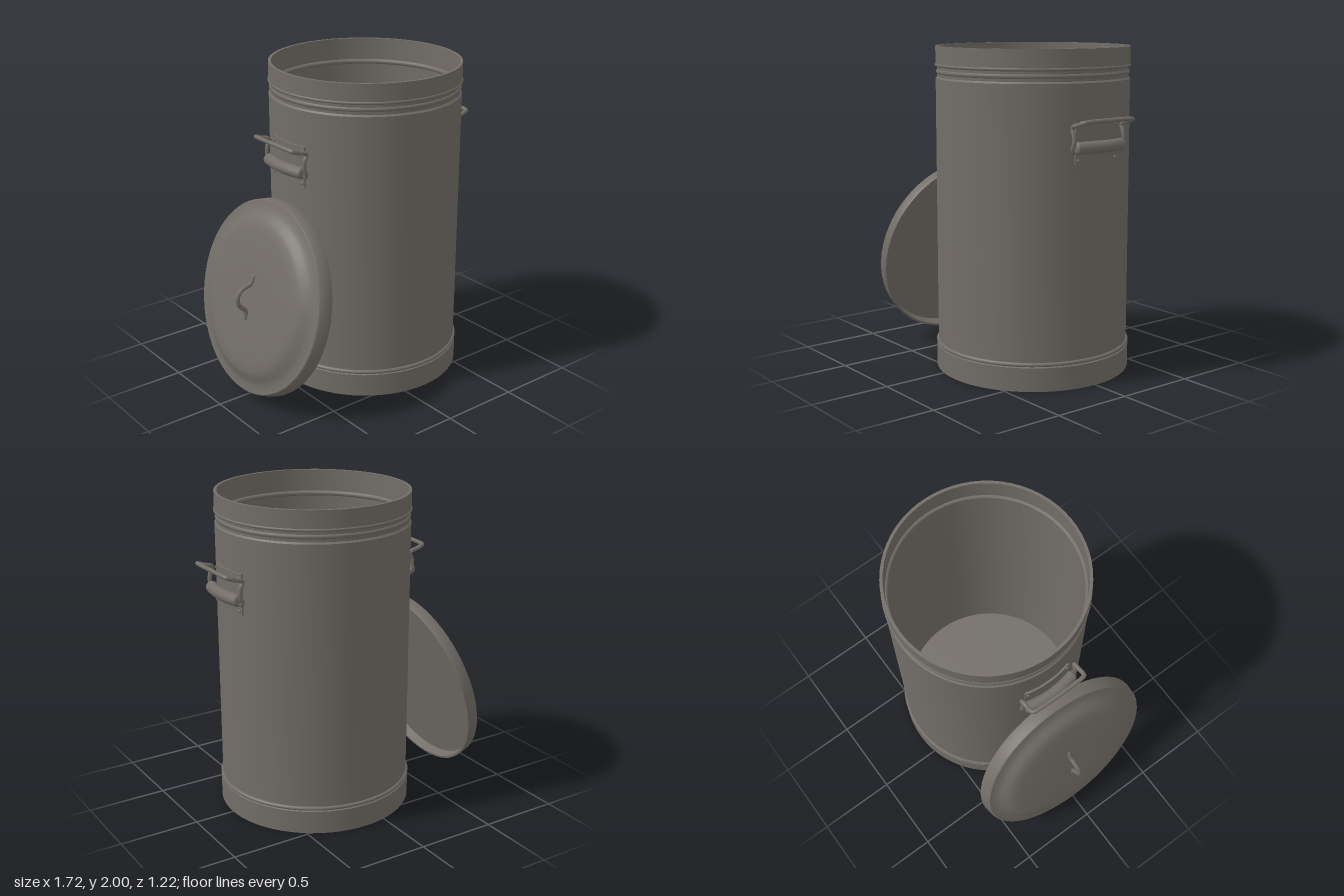
import * as THREE from 'three';
import { toCreasedNormals } from 'three/addons/utils/BufferGeometryUtils.js';

const metal = new THREE.MeshStandardMaterial({ color: 0x726d67 });
metal.name = 'dull grey metal';

function part(name, geometry, parent) {
  const mesh = new THREE.Mesh(geometry, metal);
  mesh.name = name;
  parent.add(mesh);
  return mesh;
}

// Closed solid of revolution with sharp edges kept
function turned(profile, segments = 64) {
  const points = profile.map(([r, y]) => new THREE.Vector2(r, y));
  return toCreasedNormals(new THREE.LatheGeometry(points, segments), 0.6);
}

function wire(points, radius, closed, steps) {
  const curve = new THREE.CatmullRomCurve3(points.map(p => new THREE.Vector3(...p)), closed, 'centripetal');
  return new THREE.TubeGeometry(curve, steps, radius, 8, closed);
}

// Horizontal bead around the can
function bead(name, r, tube, y, parent) {
  const mesh = part(name, new THREE.TorusGeometry(r, tube, 8, 64).rotateX(Math.PI / 2), parent);
  mesh.position.y = y;
}

function createHandle() {
  const handle = new THREE.Group();

  // Curved mounting plate hugging the wall
  const half = 0.262;
  const [a0, a1] = [-half, half];
  const shape = new THREE.Shape();
  shape.absarc(0, 0, 0.606, a0, a1, false);
  shape.absarc(0, 0, 0.585, a1, a0, true);
  const plate = new THREE.ExtrudeGeometry(shape, { depth: 0.25, bevelEnabled: false, curveSegments: 12 });
  plate.rotateX(-Math.PI / 2).translate(0, 1.34, 0);
  part('handlePlate', toCreasedNormals(plate, 0.6), handle);

  // Rivets at the plate corners
  for (const y of [1.365, 1.565]) for (const s of [-1, 1]) {
    const rivet = part('rivet', new THREE.SphereGeometry(0.01, 8, 6), handle);
    rivet.position.set(0.607 * Math.cos(0.235), y, s * 0.607 * Math.sin(0.235));
  }

  // Bowed hinge roll with rounded ends
  const rollRadius = 0.635, rollHalf = 0.265;
  const roll = new THREE.TorusGeometry(rollRadius, 0.037, 12, 16, rollHalf * 2);
  roll.rotateZ(-rollHalf).rotateX(Math.PI / 2);
  part('hingeRoll', roll, handle).position.y = 1.44;
  for (const s of [-1, 1]) {
    const cap = part('hingeRollEnd', new THREE.SphereGeometry(0.037, 12, 8), handle);
    cap.scale.z = 0.4;
    cap.rotation.y = -s * rollHalf;
    cap.position.set(rollRadius * Math.cos(rollHalf), 1.44, s * rollRadius * Math.sin(rollHalf));
  }

  // Bent wire bail, closed through the hinge roll
  const side = [
    [0.61, 1.43, 0.16], [0.60, 1.415, 0.18], [0.598, 1.43, 0.19], [0.612, 1.47, 0.19],
    [0.607, 1.52, 0.19], [0.593, 1.55, 0.19], [0.603, 1.564, 0.19], [0.64, 1.574, 0.19],
    [0.675, 1.586, 0.19], [0.692, 1.592, 0.186], [0.698, 1.595, 0.17],
  ];
  const mirrored = side.map(([x, y, z]) => [x, y, -z]).reverse();
  part('bail', wire([...side, ...mirrored, [0.635, 1.44, 0]], 0.0135, true, 140), handle);
  return handle;
}

function createLid() {
  const lid = new THREE.Group();
  lid.name = 'lid';
  // Rimmed shell with a raised, rounded crown
  part('lidShell', turned([
    [0, 0.06], [0.585, 0.06], [0.595, 0], [0.608, 0], [0.61, 0.012], [0.602, 0.075], [0.594, 0.085],
    [0.545, 0.088], [0.515, 0.102], [0.485, 0.124], [0.455, 0.136], [0.40, 0.143], [0.2, 0.146], [0, 0.147],
  ]), lid);
  // Wire loop on top of the lid
  const loop = [
    [-0.135, 0.145, 0], [-0.105, 0.152, 0], [-0.083, 0.162, 0], [-0.064, 0.195, 0], [-0.04, 0.222, 0],
    [0, 0.235, 0],
    [0.04, 0.222, 0], [0.064, 0.195, 0], [0.083, 0.162, 0], [0.105, 0.152, 0], [0.135, 0.145, 0],
  ];
  part('lidHandle', wire(loop, 0.014, false, 48), lid);
  for (const s of [-1, 1]) {
    part('lidHandleFoot', new THREE.SphereGeometry(0.014, 8, 6), lid).position.set(s * 0.135, 0.145, 0);
  }
  return lid;
}

export function createModel() {
  const model = new THREE.Group();
  const can = new THREE.Group();
  can.name = 'can';
  can.position.x = 0.14;
  model.add(can);

  // Hollow body: base band, wall, neck groove, rim, inner wall and floor
  part('body', turned([
    [0, 0], [0.605, 0], [0.605, 0.145], [0.594, 0.15], [0.594, 1.805], [0.584, 1.815], [0.584, 1.88],
    [0.594, 1.892], [0.594, 2], [0.576, 2], [0.576, 0.03], [0, 0.03],
  ]), can);
  bead('baseBead', 0.594, 0.013, 0.162, can);
  bead('lowerNeckBead', 0.576, 0.016, 1.845, can);
  bead('upperNeckBead', 0.59, 0.01, 1.885, can);

  // Two opposite handles
  ['leftHandle', 'rightHandle'].forEach((name, i) => {
    const handle = createHandle();
    handle.name = name;
    handle.rotation.y = i * Math.PI;
    can.add(handle);
  });

  // Lid leaning on the side of the can
  const lid = createLid();
  lid.position.set(-0.615, 0.62, 0);
  lid.rotation.z = 1.314;
  model.add(lid);
  return model;
}
